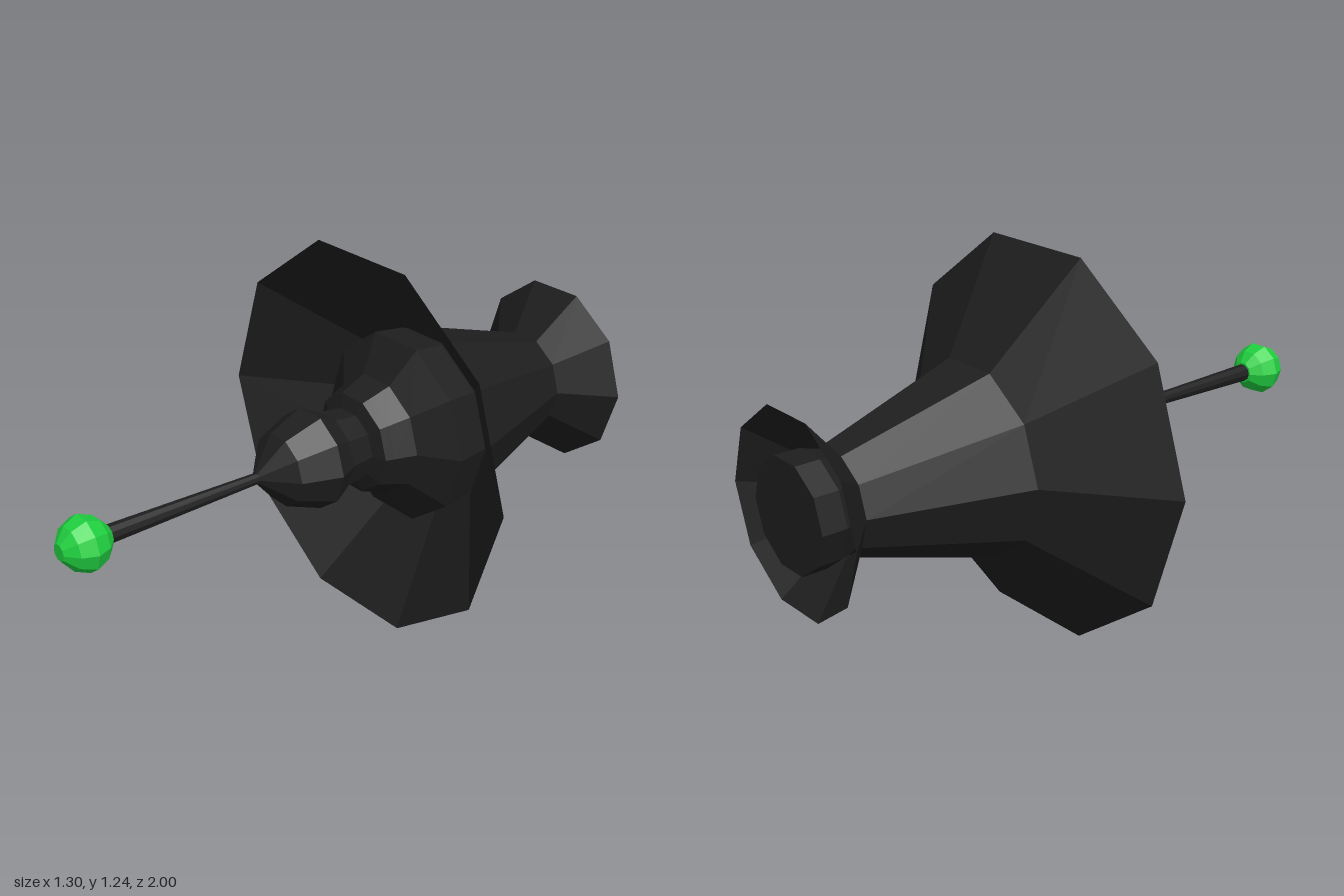
import * as THREE from 'three';

const SIDES = 10;
const AXIS_Y = 0.62;

const black = new THREE.MeshStandardMaterial({ color: 0x1e1e1e, flatShading: true, side: THREE.DoubleSide });
black.name = 'black';
const green = new THREE.MeshStandardMaterial({ color: 0x20d040, flatShading: true });
green.name = 'green';

// Turned part along z from [radius, z] pairs, listed from back to front
function turned(name, profile, material) {
  const points = profile.map(([r, z]) => new THREE.Vector2(r, z));
  const geometry = new THREE.LatheGeometry(points, SIDES, Math.PI / 2);
  geometry.rotateX(Math.PI / 2);
  const mesh = new THREE.Mesh(geometry, material);
  mesh.name = name;
  mesh.position.y = AXIS_Y;
  return mesh;
}

export function createModel() {
  const model = new THREE.Group();
  model.name = 'bellModel';

  // Open bell with a flared tail
  model.add(turned('bellShell', [
    [0.316, -0.985], [0.163, -0.85], [0.312, -0.36], [0.65, -0.1],
  ], black));

  // Solid core inside the bell, ending in the rear plug
  model.add(turned('core', [
    [0, -1], [0.175, -1], [0.175, -0.92], [0.155, -0.85], [0.304, -0.36],
    [0.318, -0.25], [0.2, -0.17], [0.175, -0.1], [0.165, -0.07], [0.118, -0.055], [0, -0.055],
  ], black));

  // Faceted bulb in front of the core
  model.add(turned('bulb', [
    [0.118, -0.06], [0.13, 0.03], [0.165, 0.1], [0.118, 0.225], [0.02, 0.31], [0, 0.31],
  ], black));

  // Thin rod, widening to the tip
  model.add(turned('rod', [
    [0, 0.29], [0.018, 0.29], [0.03, 0.86], [0, 0.86],
  ], black));

  // Round tip
  model.add(turned('tip', [
    [0, 0.842], [0.036, 0.842], [0.07, 0.873], [0.089, 0.92],
    [0.068, 0.967], [0.027, 1], [0, 1],
  ], green));

  return model;
}
